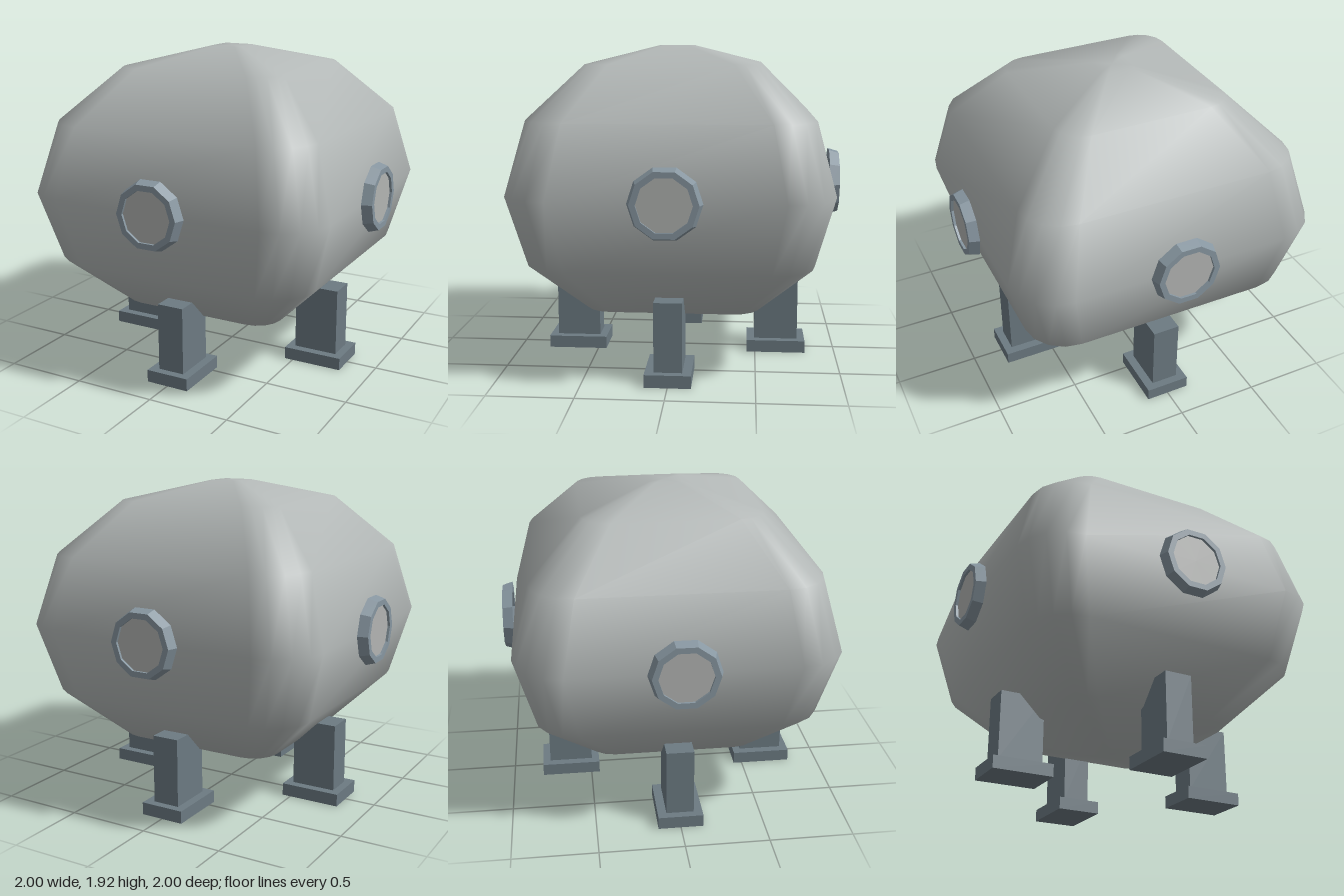
import * as THREE from 'three';

const mat = (name, color, extra = {}) => {
  const m = new THREE.MeshStandardMaterial({ color, ...extra });
  m.name = name;
  return m;
};

// Rounded-square outline of half-width 1, running from x towards z
function roundedSquare(corner = 0.3, steps = 4) {
  const pts = [];
  for (let q = 0; q < 4; q++) {
    const a0 = q * Math.PI / 2;
    const cx = (q === 0 || q === 3 ? 1 : -1) * (1 - corner);
    const cz = (q < 2 ? 1 : -1) * (1 - corner);
    for (let s = 0; s <= steps; s++) {
      const a = a0 + (s / steps) * Math.PI / 2;
      pts.push([cx + corner * Math.cos(a), cz + corner * Math.sin(a)]);
    }
  }
  return pts;
}

// Tank hull: the outline scaled by a half-width at each height
function hullGeometry() {
  const rings = [[0.245, 0.1], [0.355, 0.52], [0.665, 0.83], [1.083, 0.94],
    [1.5, 0.83], [1.81, 0.52], [1.92, 0.1]];
  const outline = roundedSquare();
  const n = outline.length;
  const pos = [];
  const idx = [];
  for (const [y, r] of rings) for (const [x, z] of outline) pos.push(x * r, y, z * r);
  const bottom = rings.length * n;
  const top = bottom + 1;
  pos.push(0, rings[0][0], 0, 0, rings[rings.length - 1][0], 0);
  for (let i = 0; i < n; i++) {
    const k = (i + 1) % n;
    for (let j = 0; j < rings.length - 1; j++) {
      const a = j * n + i, a2 = j * n + k;
      idx.push(a, a + n, a2, a + n, a2 + n, a2);
    }
    const t = (rings.length - 1) * n;
    idx.push(t + i, top, t + k, k, bottom, i);
  }
  const g = new THREE.BufferGeometry();
  g.setAttribute('position', new THREE.Float32BufferAttribute(pos, 3));
  g.setIndex(idx);
  g.computeVertexNormals();
  return g;
}

export function createModel() {
  const shell = mat('shell grey', 0xb2b7b6);
  const trim = mat('rim blue grey', 0x8796a0, { flatShading: true });
  const legPaint = mat('leg slate', 0x6c7a82);
  const glass = mat('port grey', 0xb2b4b2);

  const model = new THREE.Group();
  model.name = 'tank';
  const add = (parent, name, geo, material, x, y, z) => {
    const m = new THREE.Mesh(geo, material);
    m.name = name;
    m.position.set(x, y, z);
    parent.add(m);
    return m;
  };

  add(model, 'hull', hullGeometry(), shell, 0, 0, 0);

  // Ten-sided port rim with a tapered outside and an open middle
  const profile = [[0.155, 0], [0.208, 0], [0.19, 0.06], [0.155, 0.06], [0.155, 0]]
    .map(([r, h]) => new THREE.Vector2(r, h));
  const rimGeo = new THREE.LatheGeometry(profile, 10, Math.PI / 2).rotateX(Math.PI / 2);
  const portGeo = new THREE.CircleGeometry(0.157, 10);
  const legGeo = new THREE.BoxGeometry(0.165, 0.41, 0.27);
  const footGeo = new THREE.BoxGeometry(0.27, 0.075, 0.365);

  // One port and one leg in the middle of each side
  ['front', 'left', 'back', 'right'].forEach((side, i) => {
    const g = new THREE.Group();
    g.name = side + 'Side';
    g.rotation.y = i * Math.PI / 2;
    add(g, 'portRim', rimGeo, trim, 0, 1.083, 0.94);
    add(g, 'portCover', portGeo, glass, 0, 1.083, 0.985);
    add(g, 'leg', legGeo, legPaint, 0, 0.28, 0.63);
    add(g, 'foot', footGeo, legPaint, 0, 0.0375, 0.63);
    model.add(g);
  });

  return model;
}
